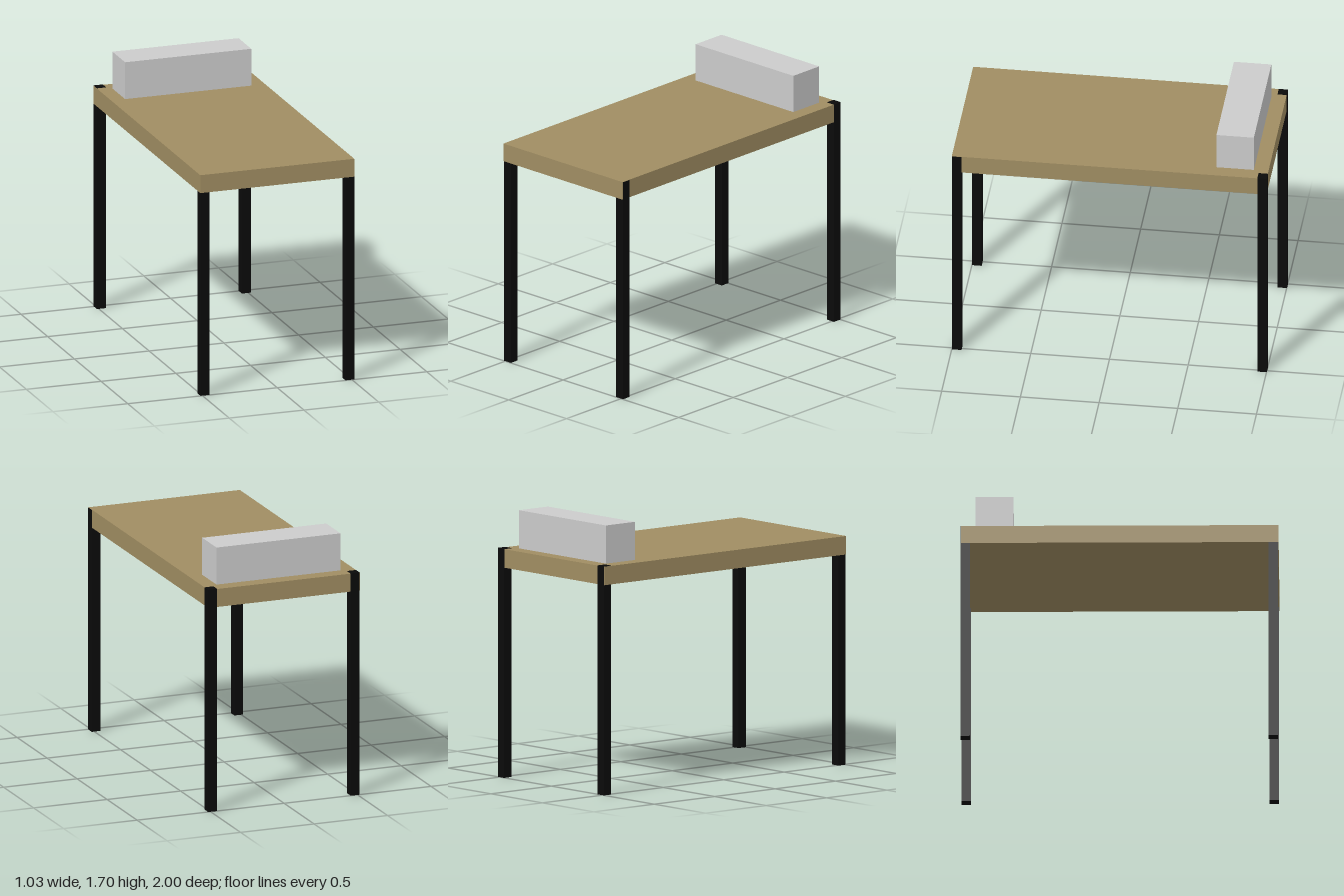
import * as THREE from 'three';

const WIDTH = 1.03, LENGTH = 2, TOP = 1.457, UNDERSIDE = 1.339;
const LEG = 0.06;
const PROUD = 0.002; // small offset so legs and tabletop do not flicker where they meet

function createModel() {
  const model = new THREE.Group();
  model.name = 'table';

  const wood = new THREE.MeshStandardMaterial({ color: 0xa08d62 });
  const black = new THREE.MeshStandardMaterial({ color: 0x0a0a0a });
  const grey = new THREE.MeshStandardMaterial({ color: 0xcccccc });

  // Box placed by the centre of its base
  function addBox(name, material, [w, h, d], [x, y, z]) {
    const mesh = new THREE.Mesh(new THREE.BoxGeometry(w, h, d), material);
    mesh.name = name;
    mesh.position.set(x, y + h / 2, z);
    model.add(mesh);
  }

  // Tabletop
  addBox('tabletop', wood, [WIDTH, TOP - UNDERSIDE, LENGTH], [0, UNDERSIDE, 0]);

  // Four square legs running up through the tabletop corners
  for (const [side, sx] of [['Left', 1], ['Right', -1]]) {
    for (const [end, sz] of [['front', 1], ['back', -1]]) {
      const height = TOP - sz * PROUD;
      addBox(`${end}${side}Leg`, black, [LEG, height, LEG], [
        sx * (WIDTH - LEG) / 2 + PROUD, 0, sz * (LENGTH - LEG) / 2 - PROUD,
      ]);
    }
  }

  // Block resting near the back edge
  addBox('block', grey, [0.844, 0.243, 0.238], [0, TOP, -0.788]);

  return model;
}

export { createModel };
